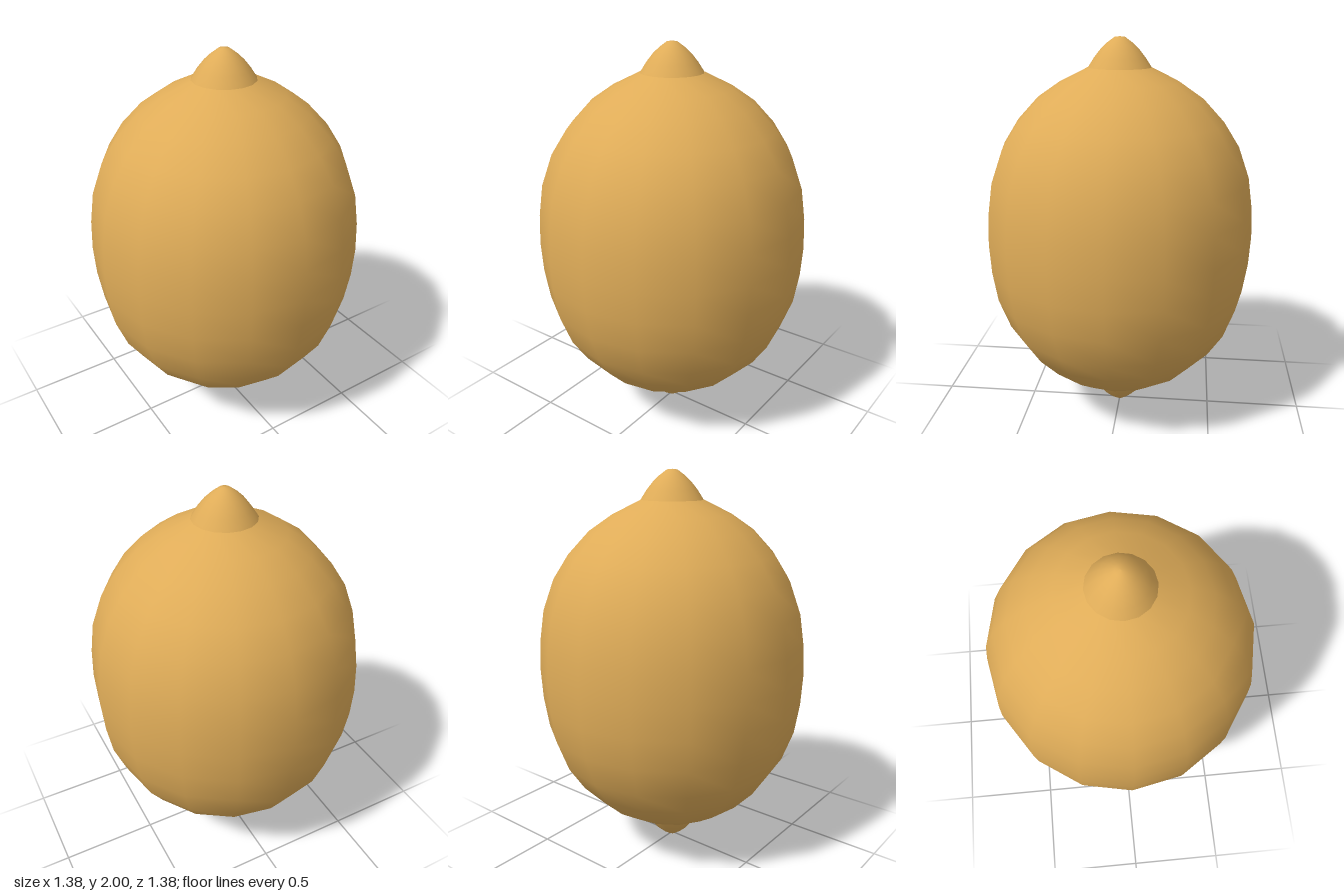
import * as THREE from 'three';

const SIDES = 16;
const MIDDLE = 1; // height of the widest ring

// [radius, height above the middle]
const HALF_BODY = [
  [0.688, 0], [0.68, 0.155], [0.656, 0.313], [0.599, 0.47],
  [0.52, 0.593], [0.414, 0.706], [0.298, 0.785], [0.157, 0.854],
];
const TIP = [
  [0.157, 0.854], [0.127, 0.9], [0.095, 0.94], [0.063, 0.97], [0.026, 0.997], [0, 1],
];

function turned(name, profile, material) {
  const points = profile.map(([r, y]) => new THREE.Vector2(r, y));
  const mesh = new THREE.Mesh(new THREE.LatheGeometry(points, SIDES), material);
  mesh.name = name;
  mesh.position.y = MIDDLE;
  return mesh;
}

export function createModel() {
  const model = new THREE.Group();
  model.name = 'lemon';
  const peel = new THREE.MeshStandardMaterial({ color: 0xdfac58 });
  peel.name = 'lemon peel';

  // Rounded body, mirrored about its widest ring
  const lowerHalf = HALF_BODY.slice(1).reverse().map(([r, y]) => [r, -y]);
  model.add(turned('body', [...lowerHalf, ...HALF_BODY], peel));

  // Pointed tips at both ends
  model.add(turned('topTip', TIP, peel));
  const bottomTip = turned('bottomTip', TIP, peel);
  bottomTip.rotation.x = Math.PI;
  model.add(bottomTip);

  return model;
}
